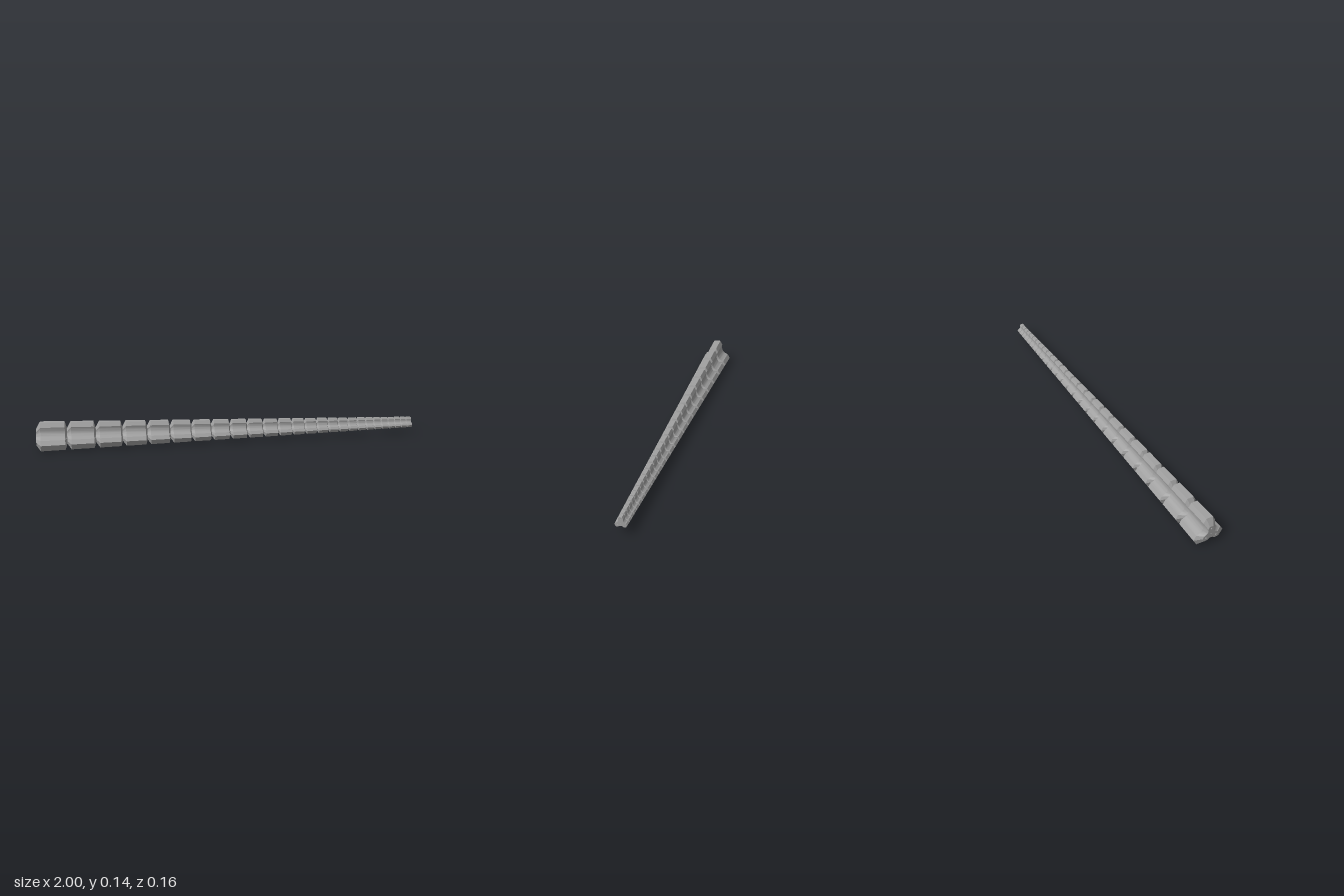
import * as THREE from 'three';
import { toCreasedNormals } from 'three/addons/utils/BufferGeometryUtils.js';

const AXIS_Y = 0.057, COUNT = 26, RATIO = 0.937, TIP = 0.37, NECK = 0.55;

// Three-lobed section at full size, counter-clockwise: chamfered lobes joined by concave arcs
function section() {
  const pts = [], arcR = 0.047, arcCentre = 0.0405 + arcR, half = 0.83;
  for (let k = 0; k < 3; k++) {
    const turn = Math.PI / 2 + k * Math.PI * 2 / 3;
    const add = (r, w) => pts.push(new THREE.Vector2(r, w).rotateAround(new THREE.Vector2(), turn));
    [[0.058, -0.031], [0.082, -0.018], [0.082, 0.018], [0.058, 0.031]].forEach(p => add(...p));
    for (let i = 1; i < 10; i++) {
      const a = half - 2 * half * i / 10;
      const p = new THREE.Vector2(arcCentre - arcR * Math.cos(a), -arcR * Math.sin(a));
      p.rotateAround(new THREE.Vector2(), Math.PI / 3);
      add(p.x, p.y);
    }
  }
  return pts;
}

// Skin through scaled copies of the section; rings are [x, scale]
function loft(pts, rings) {
  const pos = [], n = pts.length;
  const put = (ring, j) => pos.push(ring[0], pts[j % n].y * ring[1], pts[j % n].x * ring[1]);
  for (let i = 0; i < rings.length - 1; i++) {
    const a = rings[i], b = rings[i + 1];
    for (let j = 0; j < n; j++) {
      put(a, j); put(b, j); put(a, j + 1);
      put(b, j); put(b, j + 1); put(a, j + 1);
    }
  }
  const g = new THREE.BufferGeometry();
  g.setAttribute('position', new THREE.Float32BufferAttribute(pos, 3));
  return toCreasedNormals(g, 0.35);
}

export function createModel() {
  const grey = new THREE.MeshStandardMaterial({ color: 0xa0a0a0, side: THREE.DoubleSide });
  grey.name = 'grey';
  const model = new THREE.Group();
  model.name = 'segmentedArm';
  const pts = section();
  const add = (geo, name) => {
    const m = new THREE.Mesh(geo, grey);
    m.name = name;
    m.position.y = AXIS_Y;
    model.add(m);
    return m;
  };
  const scaleAt = x => 1 + (TIP - 1) * (x + 1) / 2;

  // Segments shorten towards the tip and pinch to a neck between neighbours
  let x = -1, pitch = 2 * (1 - RATIO) / (1 - RATIO ** COUNT);
  for (let i = 0; i < COUNT; i++) {
    const end = x + pitch, last = i === COUNT - 1;
    const front = x + pitch * 0.14, back = end - pitch * 0.07;
    add(loft(pts, [
      [x, scaleAt(x) * NECK],
      [front, scaleAt(front)],
      [back, scaleAt(back)],
      [end, scaleAt(end) * (last ? 0.97 : NECK)],
    ]), 'segment' + (i + 1));
    x = end;
    pitch *= RATIO;
  }

  // End plates with a centre hole and one cable hole per lobe
  const endPlate = (px, s, dir, name) => {
    const shape = new THREE.Shape(pts.map(p => p.clone().multiplyScalar(s)));
    const holes = [[0, 0, 0.004]];
    for (let k = 0; k < 3; k++) {
      const a = Math.PI / 2 + k * Math.PI * 2 / 3;
      holes.push([Math.cos(a) * 0.056, Math.sin(a) * 0.056, 0.007]);
    }
    for (const [hx, hy, r] of holes) {
      const path = new THREE.Path();
      path.absarc(hx * s, hy * s, r * s, 0, Math.PI * 2, true);
      shape.holes.push(path);
      const bore = new THREE.CylinderGeometry(r * s, r * s, 0.015, 12, 1, true).rotateZ(Math.PI / 2);
      bore.translate(px - dir * 0.0075, hy * s, -dir * hx * s);
      add(bore, name + 'Bore');
    }
    const plate = add(new THREE.ShapeGeometry(shape, 8).rotateY(dir * Math.PI / 2), name);
    plate.position.x = px;
  };
  endPlate(1, TIP * 0.97, 1, 'tipPlate');
  endPlate(-1, NECK, -1, 'basePlate');
  return model;
}
